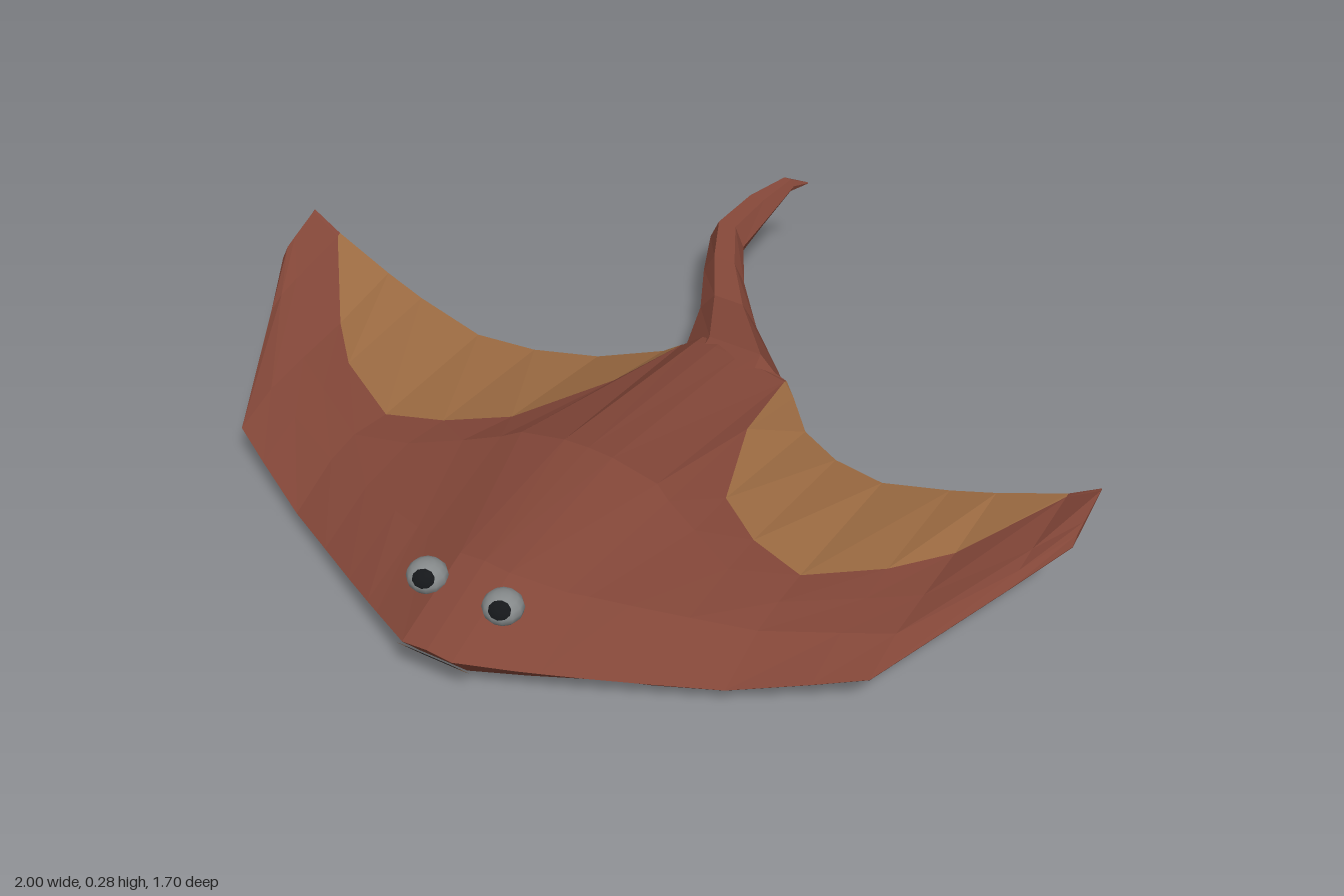
import * as THREE from 'three';

const mat = (name, color) => Object.assign(new THREE.MeshStandardMaterial({ color }), { name });

// Half-span stations: x on the left, x of the rear rows on the right, then z,y of
// leading edge, brow, back, patch border and trailing edge
const TOP = [
  [0, 0, 0.85, 0.125, 0.64, 0.205, 0.25, 0.235, -0.28, 0.17, -0.31, 0.165],
  [0.06, 0.05, 0.85, 0.12, 0.64, 0.2, 0.25, 0.232, -0.28, 0.165, -0.31, 0.16],
  [0.17, 0.1, 0.787, 0.1, 0.6, 0.168, 0.25, 0.208, -0.3, 0.125, -0.31, 0.12],
  [0.21, 0.13, 0.765, 0.095, 0.58, 0.16, 0.27, 0.193, -0.06, 0.165, -0.27, 0.115],
  [0.29, 0.25, 0.72, 0.085, 0.55, 0.15, 0.3, 0.17, 0.17, 0.165, -0.18, 0.11],
  [0.4, 0.38, 0.657, 0.073, 0.505, 0.135, 0.35, 0.15, 0.245, 0.152, -0.115, 0.12],
  [0.53, 0.51, 0.585, 0.063, 0.455, 0.122, 0.37, 0.135, 0.28, 0.14, -0.08, 0.135],
  [0.68, 0.68, 0.505, 0.087, 0.385, 0.133, 0.28, 0.146, 0.185, 0.155, -0.098, 0.165],
  [0.78, 0.78, 0.45, 0.105, 0.34, 0.143, 0.22, 0.155, 0.08, 0.165, -0.11, 0.192],
  [0.93, 0.93, 0.14, 0.18, 0.1, 0.2, 0.04, 0.213, -0.12, 0.238, -0.13, 0.24],
  [1, 1, 0, 0.22, -0.02, 0.24, -0.05, 0.252, -0.125, 0.28, -0.13, 0.283],
];
// Belly at the same stations: front z,y, rear y and sag
const BELLY = [
  [0.8, 0.06, 0.04, 0.045], [0.8, 0.06, 0.042, 0.043], [0.75, 0.06, 0.06, 0.04],
  [0.73, 0.06, 0.08, 0.04], [0.69, 0.063, 0.102, 0.045], [0.647, 0.063, 0.115, 0.032],
  [0.583, 0.061, 0.131, 0.02], [0.503, 0.085, 0.161, 0.012], [0.448, 0.103, 0.188, 0.01],
  [0.138, 0.178, 0.237, 0.002], [-0.002, 0.218, 0.28, 0],
];

// Closed section loop: forward edge, over the back, trailing edge, under the belly
function section(i, side) {
  const [xl, xr, ...p] = TOP[i];
  const [fz, fy, ry, sag] = BELLY[i];
  const rearX = side > 0 ? xl : -xr;
  const ring = [];
  for (let k = 0; k < 5; k++) ring.push([k < 3 ? side * xl : rearX, p[2 * k + 1], p[2 * k]]);
  for (let k = 0; k <= 4; k++) {
    const u = 1 - k / 4;
    ring.push([
      THREE.MathUtils.lerp(side * xl, rearX, u),
      THREE.MathUtils.lerp(fy, ry, u) - sag * Math.sin(Math.PI * u),
      THREE.MathUtils.lerp(fz, p[8], u),
    ]);
  }
  return ring;
}

// Collects faces, dropping collapsed ones, and makes a faceted mesh
class Faces {
  constructor() { this.pos = []; }
  tri(a, b, c, flip) {
    const t = new THREE.Triangle(...[a, b, c].map((v) => new THREE.Vector3(...v)));
    if (t.getArea() > 1e-7) this.pos.push(...a, ...(flip ? c : b), ...(flip ? b : c));
  }
  quad(a, b, c, d, flip) {
    this.tri(a, b, c, flip);
    this.tri(a, c, d, flip);
  }
  mesh(name, material) {
    const g = new THREE.BufferGeometry();
    g.setAttribute('position', new THREE.Float32BufferAttribute(this.pos, 3));
    g.computeVertexNormals();
    const m = new THREE.Mesh(g, material);
    m.name = name;
    return m;
  }
}

function hexagon(w, h) {
  return [[-w, 0.15 * h], [-0.6 * w, -h], [0.6 * w, -h], [w, 0.15 * h], [0.65 * w, h], [-0.65 * w, h]]
    .map(([x, y]) => new THREE.Vector2(x, y));
}

export function createModel() {
  const red = mat('russet skin', 0x824638);
  const gold = mat('ochre patch', 0x9c6b42);
  const tan = mat('belly tan', 0xb99076);
  const grey = mat('eye grey', 0x868a8b);
  const black = mat('pupil black', 0x15171a);
  const slate = mat('mouth slate', 0x2c3138);
  const model = new THREE.Group();
  model.name = 'ray';

  // Body and wings
  const back = new Faces(), patches = new Faces(), belly = new Faces();
  for (const side of [1, -1]) {
    const flip = side < 0;
    const rings = TOP.map((_, i) => section(i, side));
    for (let i = 0; i < rings.length - 1; i++) {
      const [r, s] = [rings[i], rings[i + 1]];
      for (let j = 0; j < r.length; j++) {
        const k = (j + 1) % r.length;
        const isPatch = j === 3 && i >= 2 && i <= 8;
        const isBelly = j >= 4 && j < r.length - 1;
        (isPatch ? patches : isBelly ? belly : back).quad(r[j], s[j], s[k], r[k], flip);
      }
    }
    // Wing tip
    const tip = rings[rings.length - 1];
    for (let k = 1; k < tip.length - 1; k++) back.tri(tip[0], tip[k + 1], tip[k], flip);
  }
  model.add(back.mesh('back', red), patches.mesh('wingPatches', gold), belly.mesh('belly', tan));

  // Tail: six-sided rings given by centre x, z, half width, top and bottom
  const tail = new Faces();
  const rings = [
    [0.03, -0.2, 0.08, 0.165, 0.04], [0.035, -0.31, 0.133, 0.168, 0.038],
    [-0.08, -0.48, 0.075, 0.15, 0.054], [-0.15, -0.58, 0.055, 0.18, 0.085],
    [-0.195, -0.67, 0.045, 0.214, 0.115], [-0.165, -0.76, 0.038, 0.25, 0.18],
    [-0.12, -0.825, 0.018, 0.283, 0.25], [-0.08, -0.85, 0.002, 0.272, 0.268],
  ].map(([x, z, w, top, bottom]) => Array.from({ length: 6 }, (_, k) => {
    const a = (k * Math.PI) / 3;
    const v = Math.sin(a) / Math.sin(Math.PI / 3);
    return [x + w * Math.cos(a), (top + bottom) / 2 + (v * (top - bottom)) / 2, z];
  }));
  for (let i = 0; i < rings.length - 1; i++) {
    for (let k = 0; k < 6; k++) {
      const n = (k + 1) % 6;
      tail.quad(rings[i][k], rings[i + 1][k], rings[i + 1][n], rings[i][n]);
    }
  }
  model.add(tail.mesh('tail', red));

  // Eyes with pupil caps looking forward and up
  const gaze = new THREE.Vector3(0.28, 0.5, 0.7).normalize();
  for (const side of [1, -1]) {
    const eye = new THREE.Group();
    eye.name = side > 0 ? 'leftEye' : 'rightEye';
    const ball = new THREE.Mesh(new THREE.SphereGeometry(0.044, 12, 8), grey);
    ball.name = 'eyeball';
    const pupil = new THREE.Mesh(new THREE.SphereGeometry(0.0455, 10, 3, 0, Math.PI * 2, 0, 0.55), black);
    pupil.name = 'pupil';
    pupil.quaternion.setFromUnitVectors(new THREE.Vector3(0, 1, 0), gaze);
    eye.add(ball, pupil);
    eye.scale.y = 0.8;
    eye.position.set(side * 0.092, 0.179, 0.712);
    model.add(eye);
  }

  // Mouth under the snout: dark opening with a thin lip
  const mouth = new THREE.Group();
  mouth.name = 'mouth';
  const lipShape = new THREE.Shape(hexagon(0.09, 0.038));
  lipShape.holes.push(new THREE.Path(hexagon(0.071, 0.027)));
  const lip = new THREE.Mesh(new THREE.ShapeGeometry(lipShape), tan);
  lip.name = 'lip';
  const opening = new THREE.Mesh(new THREE.ShapeGeometry(new THREE.Shape(hexagon(0.071, 0.027))), slate);
  opening.name = 'mouthOpening';
  mouth.add(lip, opening);
  mouth.rotation.x = 0.69;
  mouth.position.set(0, 0.088, 0.83);
  model.add(mouth);

  return model;
}
